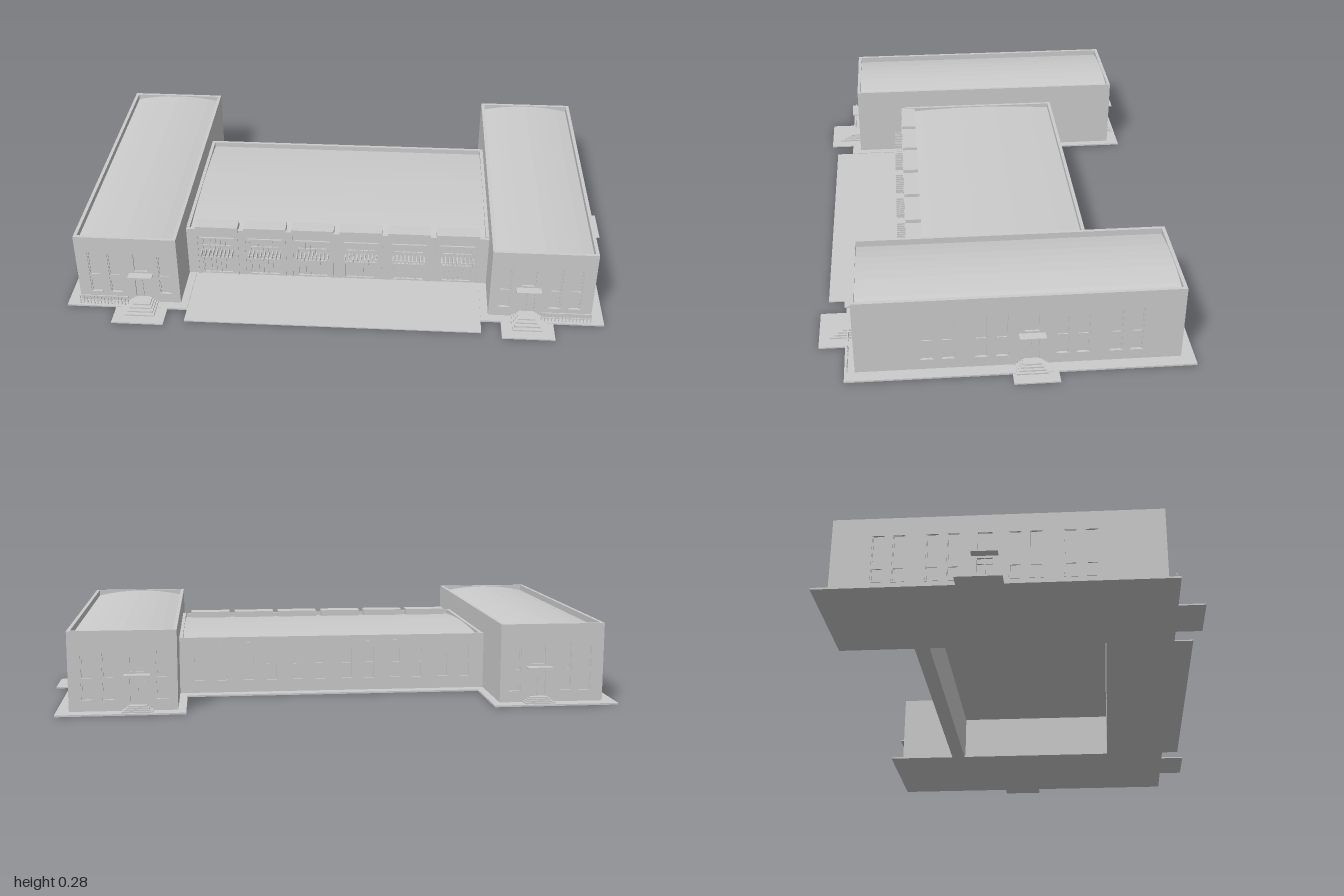
import * as THREE from 'three';

const mat = new THREE.MeshStandardMaterial({ color: 0xcccccc, flatShading: true });
const BASE = 0.006; // top of the paving
const T = 0.012; // wall thickness

function add(parent, name, geo) {
  const m = new THREE.Mesh(geo, mat);
  m.name = name;
  parent.add(m);
  return m;
}

// Box given by its limits on each axis
function box(parent, name, x0, x1, y0, y1, z0, z1) {
  const m = add(parent, name, new THREE.BoxGeometry(Math.abs(x1 - x0), y1 - y0, Math.abs(z1 - z0)));
  m.position.set((x0 + x1) / 2, (y0 + y1) / 2, (z0 + z1) / 2);
  return m;
}

function place(parent, name, x, z, angle) {
  const g = new THREE.Group();
  g.name = name;
  g.position.set(x, 0, z);
  g.rotation.y = angle;
  parent.add(g);
  return g;
}

// Wall with its outer face at local z = 0; openings are [centre, bottom, width, top]
function wall(parent, width, top, openings) {
  const w = width / 2;
  const s = new THREE.Shape([[-w, BASE], [w, BASE], [w, top], [-w, top]].map(p => new THREE.Vector2(...p)));
  for (const [c, y0, ow, y1] of openings) {
    const h = ow / 2;
    s.holes.push(new THREE.Path([[c - h, y0], [c - h, y1], [c + h, y1], [c + h, y0]].map(p => new THREE.Vector2(...p))));
  }
  const m = add(parent, 'wall', new THREE.ExtrudeGeometry(s, { depth: T, bevelEnabled: false }));
  m.position.z = -T;
  for (const [c, y0, ow, y1] of openings) {
    box(parent, 'glazing', c - ow / 2, c + ow / 2, y0, y1, -T, -0.007);
  }
}

// Tall window: opening plus spandrel band, centre bar and sill
const tallWindow = (u, w = 0.04) => [u, 0.045, w, 0.212];
function windowTrim(parent, u, w = 0.04) {
  box(parent, 'windowSpandrel', u - w / 2, u + w / 2, 0.092, 0.118, -0.008, -0.003);
  box(parent, 'windowSill', u - w / 2 - 0.002, u + w / 2 + 0.002, 0.041, 0.045, -0.004, 0.002);
  for (const s of [-1, 1]) {
    const x = u + s * (w / 2 - 0.002);
    box(parent, 'windowJamb', x - 0.002, x + 0.002, 0.045, 0.212, -0.008, -0.003);
  }
}

// Door with fanlight above, canopy and steps
const doorOpenings = u => [[u, 0.022, 0.05, 0.118], [u, 0.138, 0.046, 0.212]];
function entrance(parent, u, stepDepth) {
  box(parent, 'canopy', u - 0.043, u + 0.043, 0.126, 0.131, -0.004, 0.03);
  box(parent, 'doorMeetingStile', u - 0.002, u + 0.002, 0.022, 0.118, -0.008, -0.003);
  box(parent, 'doorHead', u - 0.025, u + 0.025, 0.098, 0.102, -0.008, -0.003);
  for (let i = 0; i < 4; i++) {
    const h = 0.052 - i * 0.007;
    box(parent, 'step', u - h, u + h, BASE, BASE + 0.005 * (i + 1), -0.004, stepDepth * (1 - i * 0.17));
  }
}

// Shallow vaulted roof running along local z
function vault(parent, name, span, length, edge, rise) {
  const n = 8, pts = [new THREE.Vector2(-span / 2, edge - 0.006)];
  for (let i = 0; i <= n; i++) {
    const t = (i / n) * 2 - 1;
    pts.push(new THREE.Vector2(t * span / 2, edge + rise * (1 - t * t)));
  }
  pts.push(new THREE.Vector2(span / 2, edge - 0.006));
  const geo = new THREE.ExtrudeGeometry(new THREE.Shape(pts.reverse()), { depth: length, bevelEnabled: false });
  geo.translate(0, 0, -length / 2);
  return add(parent, name, geo);
}

// Side wing; s = 1 for the model's left, -1 for its right
function wing(root, s) {
  const g = place(root, s > 0 ? 'leftWing' : 'rightWing', 0, 0, 0);
  const x0 = 0.547, x1 = 0.907, z0 = -0.575, z1 = 0.488, H = 0.277;
  const cx = (x0 + x1) / 2, cz = (z0 + z1) / 2, doorX = 0.68;

  // Paving around the wing
  box(g, 'paving', s * 0.52, s * 0.95, 0, BASE, -0.62, 0.522);
  box(g, 'sideLanding', s * 0.95, s, 0, BASE * 0.8, -0.168, -0.018);
  box(g, 'frontLanding', s * 0.59, s * 0.773, 0, BASE * 0.8, 0.522, 0.61);

  // Front and back ends
  for (const f of [1, -1]) {
    const w = place(g, f > 0 ? 'frontEnd' : 'backEnd', s * cx, f > 0 ? z1 : z0, f > 0 ? 0 : Math.PI);
    const u = x => s * f * (x - cx);
    const wins = [0.598, 0.775, 0.845].map(u);
    wall(w, x1 - x0, H, [...wins.map(v => tallWindow(v)), ...doorOpenings(u(doorX))]);
    wins.forEach(v => windowTrim(w, v));
    entrance(w, u(doorX), f > 0 ? 0.085 : 0.036);
  }

  // Outer long side
  const side = place(g, 'outerSide', s * x1, cz, s * Math.PI / 2);
  const u = z => -s * (z - cz);
  const wins = [0.255, 0.187, 0.08, 0.013, -0.183, -0.25, -0.357, -0.424].map(u);
  wall(side, z1 - z0 - 2 * T, H, [...wins.map(v => tallWindow(v)), ...doorOpenings(u(-0.083))]);
  wins.forEach(v => windowTrim(side, v));
  entrance(side, u(-0.083), 0.055);

  // Plain inner side and roof
  box(g, 'innerSide', s * x0, s * (x0 + T), BASE, H, z0 + T, z1 - T);
  vault(g, 'wingRoof', x1 - x0 - 2 * T, z1 - z0 - 2 * T, 0.255, 0.019).position.set(s * cx, 0, cz);

  // Low railing at the front corner
  const rail = place(g, 'cornerRailing', 0, 0.512, 0);
  for (const y of [0.02, 0.04]) box(rail, 'rail', s * 0.73, s * 0.905, y, y + 0.003, -0.002, 0.002);
  for (let i = 0; i <= 14; i++) {
    const x = s * (0.731 + i * 0.0123);
    box(rail, 'baluster', x - 0.0015, x + 0.0015, BASE, 0.042, -0.0015, 0.0015);
  }
}

// Low hall between the wings
function hall(root) {
  const g = place(root, 'hall', 0, 0, 0);
  const zf = 0.305, zb = -0.32, X = 0.547, H = 0.2;
  const bays = [-0.437, -0.262, -0.088, 0.088, 0.262, 0.437];

  box(g, 'frontApron', -0.52, 0.52, 0, 0.004, zf - T, 0.585);
  box(g, 'backPaving', -0.52, 0.52, 0, BASE, -0.36, zb + T);

  // Front with a glazed doorway, sunshade and raised parapet in every bay
  const front = place(g, 'hallFront', 0, zf, 0);
  wall(front, 2 * X, H, bays.map(b => [b, 0.012, 0.11, 0.158]));
  for (const b of bays) {
    box(front, 'lintel', b - 0.062, b + 0.062, 0.162, 0.168, -0.004, 0.006);
    for (const y of [0.075, 0.125]) box(front, 'transom', b - 0.055, b + 0.055, y, y + 0.005, -0.008, -0.002);
    for (const d of [-0.053, -0.027, -0.009, 0.009, 0.027, 0.053]) {
      box(front, 'mullion', b + d - 0.002, b + d + 0.002, 0.012, 0.158, -0.008, -0.002);
    }
    for (const z of [0.008, 0.026]) box(front, 'sunshadeBar', b - 0.06, b + 0.06, 0.096, 0.1, z, z + 0.003);
    for (let i = 0; i < 9; i++) {
      const x = b - 0.056 + i * 0.014;
      box(front, 'sunshadeSlat', x - 0.002, x + 0.002, 0.1, 0.114, -0.008, 0.035);
    }
    box(front, 'raisedParapet', b - 0.077, b + 0.077, 0.185, 0.212, -0.052, 0.003);
    for (const d of [-0.074, 0.074]) box(front, 'pilaster', b + d - 0.003, b + d + 0.003, BASE, 0.19, -0.004, 0.003);
  }

  // Back with paired windows and small vents
  const back = place(g, 'hallBack', 0, zb, Math.PI);
  const wins = bays.flatMap(b => [b - 0.04, b + 0.04]);
  wall(back, 2 * X, H + 0.005, wins.map(u => [u, 0.05, 0.034, 0.16]));
  for (const u of wins) {
    box(back, 'windowSill', u - 0.019, u + 0.019, 0.046, 0.05, -0.004, 0.002);
    box(back, 'windowTransom', u - 0.017, u + 0.017, 0.1, 0.106, -0.008, -0.003);
    box(back, 'vent', u - 0.008, u + 0.008, 0.18, 0.186, -0.002, 0.002);
  }

  // Roof, arched from front to back, with end kerbs
  const roof = vault(g, 'hallRoof', zf - zb - 2 * T, 2 * X, 0.186, 0.014);
  roof.rotation.y = Math.PI / 2;
  roof.position.z = (zf + zb) / 2;
  for (const s of [-1, 1]) box(g, 'roofKerb', s * 0.535, s * X, 0.18, 0.204, zb + T, zf - T);
}

export function createModel() {
  const root = new THREE.Group();
  root.name = 'building';
  hall(root);
  wing(root, 1);
  wing(root, -1);
  return root;
}
